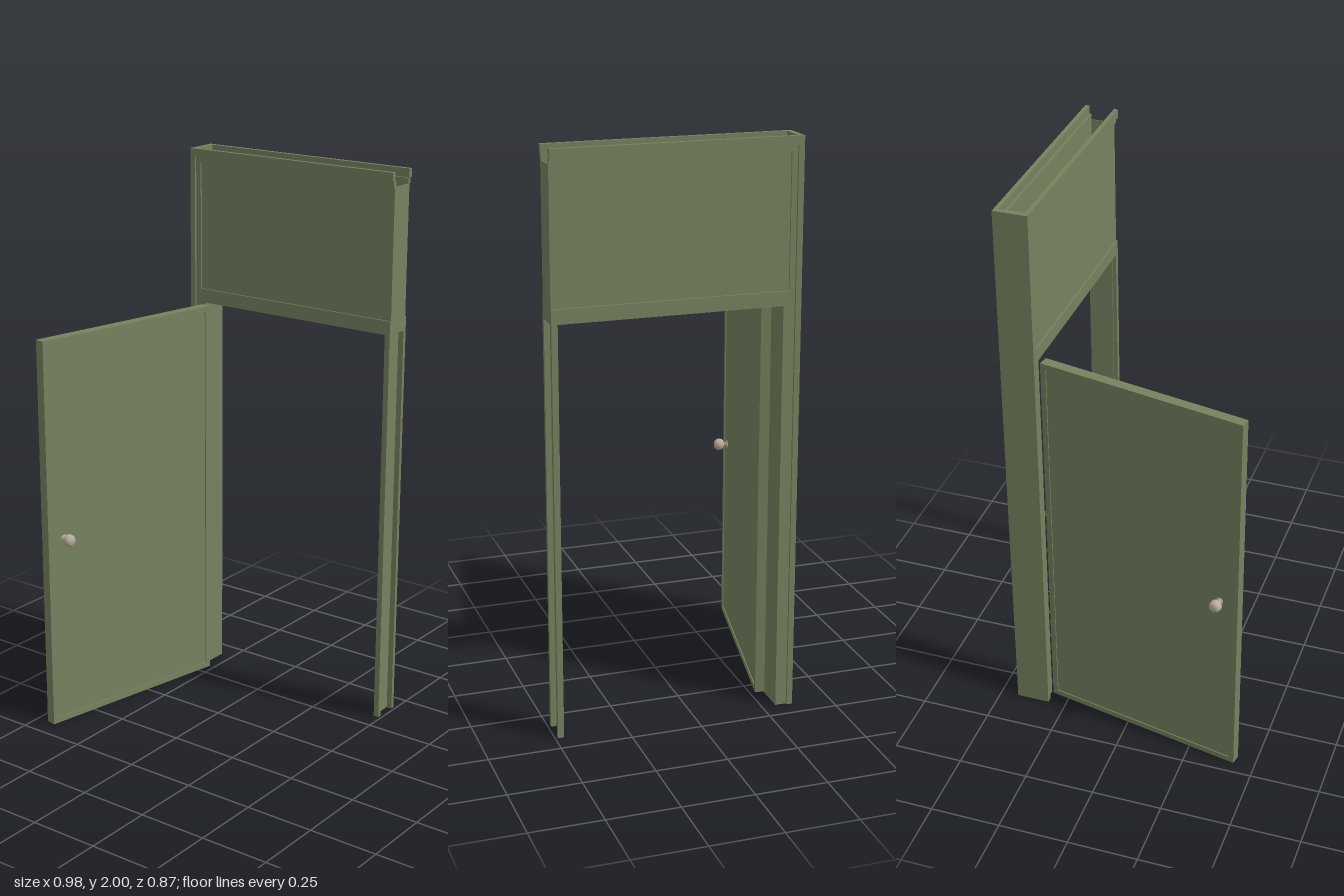
import * as THREE from 'three';

const green = new THREE.MeshStandardMaterial({ color: 0x76825f, side: THREE.DoubleSide });
const metal = new THREE.MeshStandardMaterial({ color: 0xb8ac9a });
const MID = -0.375; // z of the wall's centre plane

// Box given by its minimum and maximum on each axis
function block(parent, name, [x0, x1], [y0, y1], [z0, z1], material = green) {
  const mesh = new THREE.Mesh(new THREE.BoxGeometry(x1 - x0, y1 - y0, z1 - z0), material);
  mesh.position.set((x0 + x1) / 2, (y0 + y1) / 2, (z0 + z1) / 2);
  mesh.name = name;
  parent.add(mesh);
  return mesh;
}

function createFrame() {
  const frame = new THREE.Group();
  frame.name = 'doorFrame';

  // Full-height outer post, and the inner webs of the opening
  block(frame, 'outerPost', [-0.36, -0.34], [0, 2], [MID - 0.06, MID + 0.06]);
  block(frame, 'hingeJambWeb', [-0.305, -0.3], [0, 1.44], [MID - 0.038, MID + 0.038]);
  block(frame, 'latchJambWeb', [0.465, 0.47], [0, 1.44], [MID - 0.038, MID + 0.038]);
  block(frame, 'headerSoffit', [-0.305, 0.47], [1.44, 1.446], [MID - 0.038, MID + 0.038]);
  block(frame, 'headerEnd', [0.487, 0.49], [1.44, 1.95], [MID - 0.045, MID + 0.045]);

  // Facings, repeated on the front and the back; depths measured from the centre plane
  for (const side of [1, -1]) {
    const face = (name, x, y, inner, outer) =>
      block(frame, name, x, y, side > 0 ? [MID + inner, MID + outer] : [MID - outer, MID - inner]);
    face('headerPanel', [-0.32, 0.49], [1.49, 1.97], 0.038, 0.046);
    face('headerBottomRail', [-0.32, 0.49], [1.44, 1.49], 0.038, 0.052);
    face('headerTopStep', [-0.34, 0.49], [1.95, 1.97], 0.045, 0.052);
    face('headerTopLip', [-0.34, 0.49], [1.97, 2], 0.045, 0.06);
    face('postStep', [-0.34, -0.32], [0, 1.95], 0.045, 0.052);
    face('hingeJambFlange', [-0.32, -0.3], [0, 1.44], 0.038, 0.052);
    face('latchJambFlange', [0.47, 0.49], [0, 1.44], 0.038, 0.052);
  }
  return frame;
}

function createKnob() {
  const knob = new THREE.Group();
  knob.name = 'doorKnob';
  // Spindle, rose and rounded grip, turned about one axis
  const profile = [
    [0, 0], [0.013, 0], [0.013, 0.004], [0.006, 0.006], [0.006, 0.015], [0.015, 0.016],
    [0.02, 0.022], [0.022, 0.03], [0.021, 0.038], [0.018, 0.045], [0.012, 0.05], [0, 0.051],
  ].map(([r, h]) => new THREE.Vector2(r, h));
  const grip = new THREE.Mesh(new THREE.LatheGeometry(profile, 24), metal);
  grip.name = 'knobGrip';
  knob.add(grip);
  return knob;
}

function createDoor() {
  const door = new THREE.Group();
  door.name = 'door';
  const length = 0.755, height = 1.435, half = 0.0185, rim = 0.02;

  // Leaf with a slim raised rim on both faces
  block(door, 'doorPanel', [-half + 0.004, half - 0.004], [rim, height - rim], [rim, length - rim]);
  for (const [a, b] of [[0, rim], [length - rim, length]])
    block(door, 'doorStile', [-half, half], [0, height], [a, b]);
  for (const [a, b] of [[0, rim], [height - rim, height]])
    block(door, 'doorRail', [-half, half], [a, b], [rim, length - rim]);

  // Knob on each face
  for (const side of [1, -1]) {
    const knob = createKnob();
    knob.position.set(side * (half - 0.004), 0.705, length - 0.07);
    knob.rotation.z = -side * Math.PI / 2;
    door.add(knob);
  }

  // Swung open on its hinge edge
  door.position.set(-0.288, 0, -0.312);
  door.rotation.y = -0.2;
  return door;
}

export function createModel() {
  const model = new THREE.Group();
  model.name = 'openDoorway';
  model.add(createFrame(), createDoor());
  return model;
}
